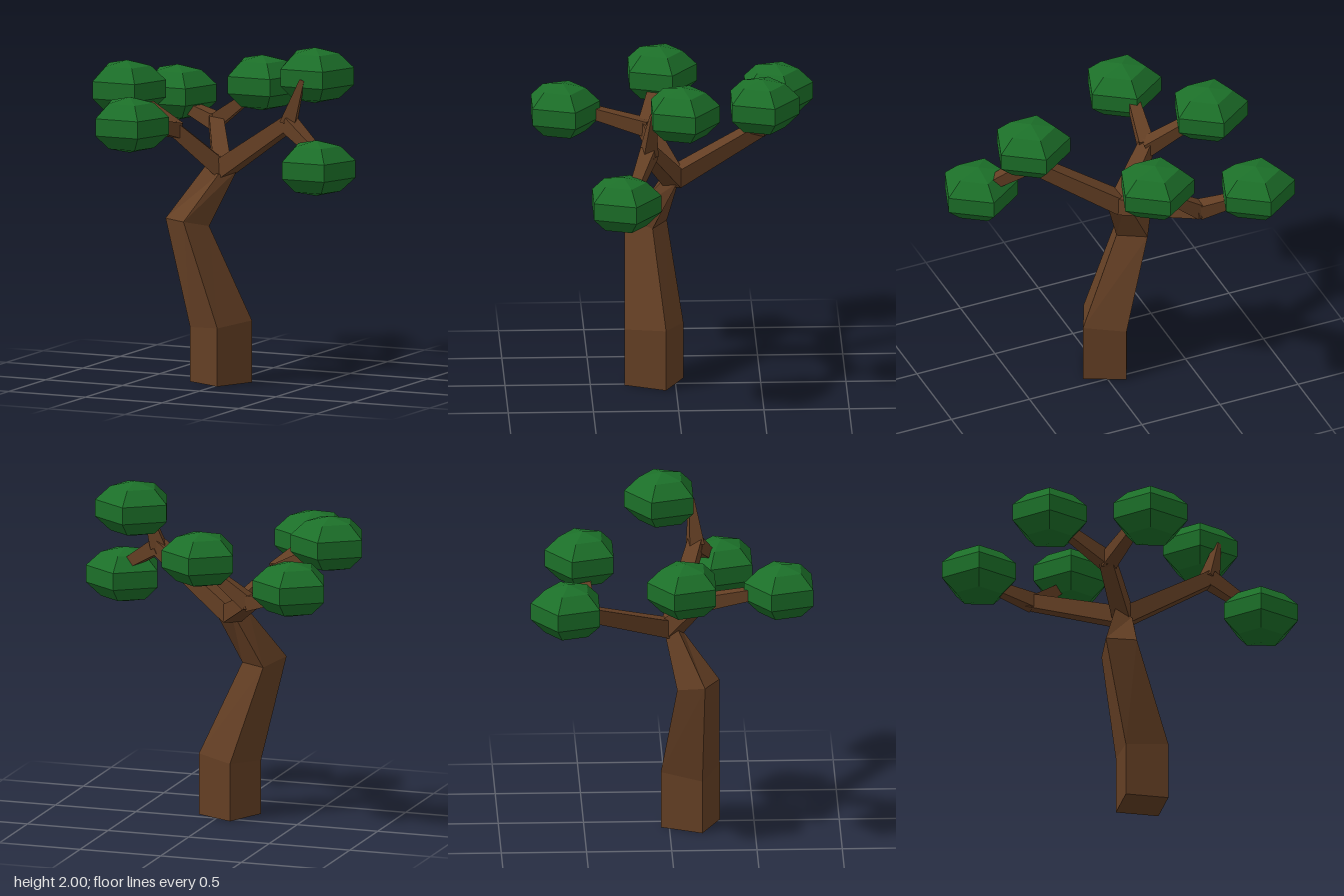
import * as THREE from 'three';

const V = (x, y, z) => new THREE.Vector3(x, y, z);
const bark = new THREE.MeshStandardMaterial({ color: 0x643f24, flatShading: true });
const leaf = new THREE.MeshStandardMaterial({ color: 0x1c7029, flatShading: true });

// Four-sided loft: each ring is a centre and two half-diagonals
function loft(rings) {
  const pos = [];
  const corners = rings.map(([c, d1, d2]) => [
    c.clone().add(d1), c.clone().add(d2), c.clone().sub(d1), c.clone().sub(d2)]);
  const tri = (...pts) => pts.forEach(p => pos.push(p.x, p.y, p.z));
  for (let i = 0; i + 1 < corners.length; i++) {
    const a = corners[i], b = corners[i + 1];
    for (let k = 0; k < 4; k++) {
      const n = (k + 1) % 4;
      tri(a[k], a[n], b[n]);
      tri(a[k], b[n], b[k]);
    }
  }
  const a = corners[0], b = corners[corners.length - 1];
  tri(a[0], a[2], a[1]); tri(a[0], a[3], a[2]);
  tri(b[0], b[1], b[2]); tri(b[0], b[2], b[3]);
  const g = new THREE.BufferGeometry();
  g.setAttribute('position', new THREE.Float32BufferAttribute(pos, 3));
  g.computeVertexNormals();
  return g;
}

// Square limb swept along a few points, with a radius at each
function limb(points, radii) {
  const last = points.length - 1;
  return loft(points.map((p, i) => {
    const t = points[Math.min(i + 1, last)].clone().sub(points[Math.max(i - 1, 0)]).normalize();
    const side = V(0, 1, 0).cross(t).normalize();
    const up = side.clone().cross(t);
    const r = radii[i] / Math.SQRT2;
    return [p, up.clone().add(side).multiplyScalar(r), side.clone().sub(up).multiplyScalar(r)];
  }));
}

export function createModel() {
  const tree = new THREE.Group();
  tree.name = 'tree';
  const add = (name, geometry, material) => {
    const m = new THREE.Mesh(geometry, material);
    m.name = name;
    tree.add(m);
    return m;
  };

  // Trunk: upright foot, lean to the right, then back to the fork
  add('trunk', loft([
    [V(-0.04, 0, 0.125), V(0.06, 0, 0.175), V(0.17, 0, -0.065)],
    [V(-0.04, 0.345, 0.125), V(0.06, 0, 0.175), V(0.17, 0.022, -0.065)],
    [V(-0.24, 0.94, 0.165), V(0.035, 0.02, 0.125), V(0.125, -0.02, -0.035)],
    [V(-0.09, 1.25, 0.02), V(0.01, -0.03, 0.06), V(0.09, -0.01, -0.03)],
  ]), bark);

  // Three boughs, each splitting into two twigs
  const fork = V(-0.09, 1.24, 0.01);
  const boughs = [
    { name: 'left', joint: V(0.42, 1.57, 0.17), tips: [V(0.5, 1.83, 0.15), V(0.62, 1.44, 0.25)], ends: [0.02, 0.045] },
    { name: 'back', joint: V(-0.37, 1.44, -0.49), tips: [V(-0.58, 1.5, -0.56), V(-0.16, 1.6, -0.5)], ends: [0.045, 0.04] },
    { name: 'right', joint: V(-0.32, 1.48, 0.16), tips: [V(-0.58, 1.63, 0.1), V(-0.39, 1.57, 0.52)], ends: [0.045, 0.045] },
  ];
  for (const { name, joint, tips, ends } of boughs) {
    const over = joint.clone().sub(fork).normalize().multiplyScalar(0.03);
    add(name + 'Bough', limb([fork, joint.clone().add(over)], [0.075, 0.058]), bark);
    tips.forEach((tip, i) =>
      add(name + 'Twig' + (i + 1), limb([joint, tip], [0.064, ends[i]]), bark));
  }

  // Five-sided leaf clumps, one corner pointing back
  const clump = new THREE.SphereGeometry(1, 5, 5).rotateY(-Math.PI / 2).scale(0.235, 0.165, 0.233);
  clump.scale(1.045, 1, 1);
  [[-0.68, 1.575, -0.612], [-0.08, 1.685, -0.51], [-0.68, 1.695, 0.07],
    [-0.38, 1.575, 0.65], [0.5, 1.835, -0.022], [0.68, 1.345, 0.33],
  ].forEach((p, i) => add('leafClump' + (i + 1), clump, leaf).position.set(...p));

  return tree;
}
